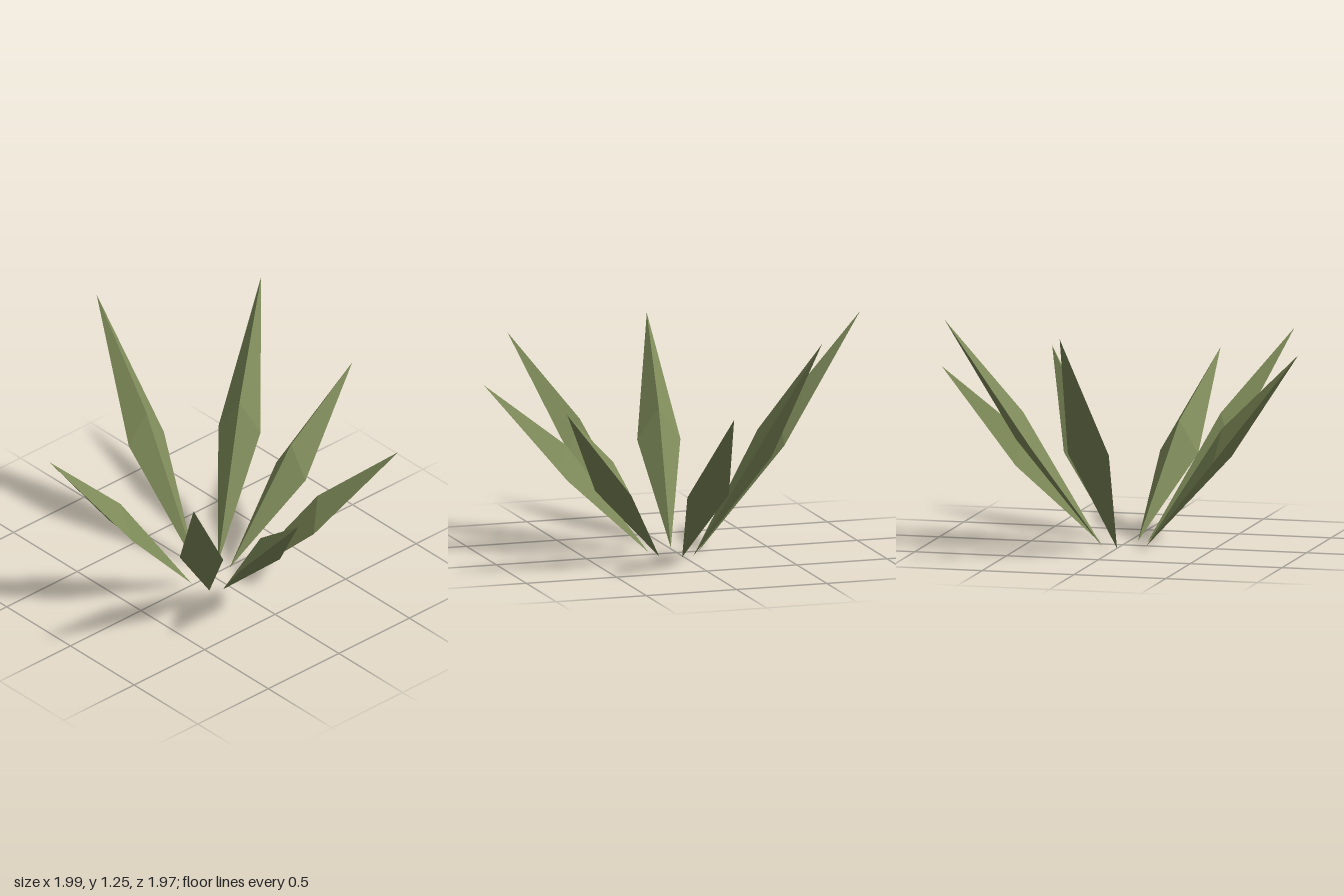
import * as THREE from 'three';

// Leaf footprints: base x, base z, tip x, tip z, tip height
const LEAVES = [
  [0.12, 0.01, 0.99, 0.01, 0.91],
  [0.1, -0.06, 0.83, -0.53, 1.25],
  [0, -0.12, 0.08, -0.99, 1.25],
  [-0.13, -0.01, -1, -0.165, 1.08],
  [-0.105, 0.1, -0.75, 0.69, 1.08],
  [-0.045, 0.14, -0.27, 0.98, 0.91],
  [0.07, 0.12, 0.6, 0.805, 0.91],
];
const HALF_WIDTH = 0.115;
const RIDGE_RISE = 0.168;

// Closed spear-shaped leaf: raised ridge on top, shallow fold underneath
function leafGeometry([bx, bz, tx, tz, height]) {
  const base = new THREE.Vector3(bx, 0, bz);
  const tip = new THREE.Vector3(tx, height, tz);
  const mid = new THREE.Vector3((bx + tx) / 2, height * 0.455, (bz + tz) / 2);
  const across = new THREE.Vector3(tz - bz, 0, bx - tx).setLength(HALF_WIDTH);
  const left = mid.clone().add(across);
  const right = mid.clone().sub(across);
  const ridge = mid.clone().setY(mid.y + RIDGE_RISE);

  const corners = [
    base, right, ridge, right, tip, ridge, // upper faces
    tip, left, ridge, left, base, ridge,
    base, tip, right, base, left, tip, // underside
  ];
  const geometry = new THREE.BufferGeometry().setFromPoints(corners);
  geometry.computeVertexNormals();
  return geometry;
}

export function createModel() {
  const group = new THREE.Group();
  group.name = 'spikyPlant';
  const green = new THREE.MeshStandardMaterial({ color: 0x7f8c5a });
  green.name = 'olive green';
  green.flatShading = true;

  LEAVES.forEach((leaf, i) => {
    const mesh = new THREE.Mesh(leafGeometry(leaf), green);
    mesh.name = `leaf${i + 1}`;
    group.add(mesh);
  });
  return group;
}
